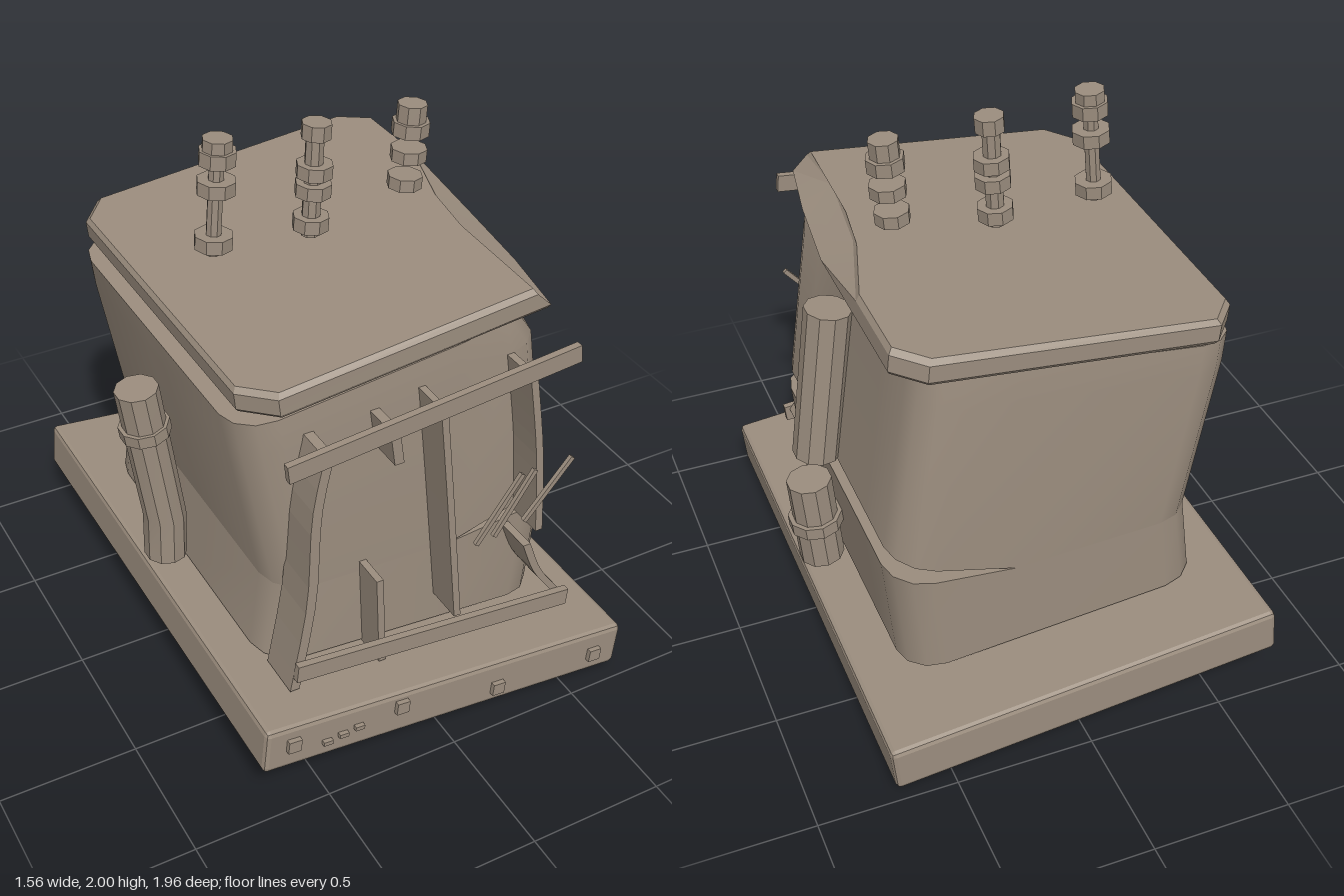
import * as THREE from 'three';
import { toCreasedNormals } from 'three/addons/utils/BufferGeometryUtils.js';
import { RoundedBoxGeometry } from 'three/addons/geometries/RoundedBoxGeometry.js';

const taupe = new THREE.MeshStandardMaterial({ color: 0x9b8d7e });
taupe.name = 'taupe';

// Skin a stack of [x, y, z] rings; caps join the front chain to the back chain
function loft(rings, crease) {
  const n = rings[0].length, pos = rings.flat(2), idx = [];
  const quad = (a, b, c, d) => idx.push(a, b, c, a, c, d);
  for (let r = 0; r < rings.length - 1; r++)
    for (let i = 0; i < n; i++) {
      const j = (i + 1) % n, a = r * n, b = a + n;
      quad(a + i, a + j, b + j, b + i);
    }
  const t = (rings.length - 1) * n;
  for (let i = 0; i < n / 2 - 1; i++) {
    quad(t + i, t + i + 1, t + n - 2 - i, t + n - 1 - i);
    quad(n - 1 - i, n - 2 - i, i + 1, i);
  }
  const g = new THREE.BufferGeometry();
  g.setAttribute('position', new THREE.Float32BufferAttribute(pos, 3));
  g.setIndex(idx);
  return toCreasedNormals(g, crease);
}

// Rounded-rectangle ring for the tank, with height given by a rule
function tankRing(l, r, zf, zb, height, dent = 0) {
  const R = 0.14, half = [[l, 0.05]];
  for (let k = 0; k <= 3; k++) {
    const a = k * Math.PI / 6;
    half.push([l + R - R * Math.cos(a), 1 - R + R * Math.sin(a)]);
  }
  half.push([0.16, 1]);
  for (let k = 3; k >= 0; k--) {
    const a = k * Math.PI / 6;
    half.push([r - R + R * Math.cos(a), 1 - R + R * Math.sin(a)]);
  }
  half.push([r, 0.35], [r, 0.05]);
  const place = (s) => ([x, d]) => {
    const z = d > 0.8 ? s * ((s > 0 ? zf : -zb) - 1 + d) : s * d;
    const px = x - (x > 0.3 && z > 0.3 ? dent : 0);
    return [px, height(x), z];
  };
  return [...half.map(place(1)), ...half.slice().reverse().map(place(-1))];
}

export function createModel() {
  const model = new THREE.Group();
  const add = (name, geo, x = 0, y = 0, z = 0, rz = 0, parent = model) => {
    const m = new THREE.Mesh(geo, taupe);
    m.name = name;
    m.position.set(x, y, z);
    m.rotation.z = rz;
    parent.add(m);
    return m;
  };
  const box = (name, w, h, d, x, y, z, rz, parent) =>
    add(name, new THREE.BoxGeometry(w, h, d), x, y, z, rz, parent);

  // Faceted cylinder between two points in the x-y plane
  const rod = (name, x0, y0, x1, y1, r, z = 0, sides = 10) => {
    const g = new THREE.CylinderGeometry(r, r, Math.hypot(x1 - x0, y1 - y0), sides);
    return add(name, toCreasedNormals(g, 0.4), (x0 + x1) / 2, (y0 + y1) / 2, z, -Math.atan2(x1 - x0, y1 - y0));
  };

  // Tilted base slab with its front studs
  const base = new THREE.Group();
  base.name = 'base';
  base.position.set(0, 0.19, -0.01);
  base.rotation.z = -0.1;
  model.add(base);
  add('baseSlab', toCreasedNormals(new RoundedBoxGeometry(1.445, 0.175, 1.94, 1, 0.018), 0.2), 0, 0, 0, 0, base);
  for (const [x, y] of [[-0.62, 0.015], [-0.205, 0.035], [0.195, -0.02], [0.61, -0.005]])
    box('baseStud', 0.048, 0.048, 0.02, x, y, 0.978, 0, base);
  for (const x of [-0.49, -0.43, -0.37])
    box('baseChip', 0.035, 0.016, 0.018, x, -0.02 + (x + 0.49) * 0.2, 0.977, 0, base);

  // Lumps under the base
  for (const [x, y, z] of [[0.33, 0.045, 0.68], [0.29, 0.05, 0.2], [0.46, 0.04, -0.17], [-0.58, 0.053, -0.3]]) {
    const g = new THREE.IcosahedronGeometry(0.07, 0);
    g.scale(1, 0.62, 0.85);
    add('lump', toCreasedNormals(g, 0.1), x, y, z);
  }

  // Tank split by a wedge-shaped crack opening to the left
  const crack = (slope) => (x) => 0.61 + Math.max(0, x - 0.16) * slope - Math.min(0, x - 0.16) * 0.05;
  add('lowerTank', loft([
    tankRing(-0.56, 0.56, 0.67, -0.69, (x) => 0.29 - 0.09 * x),
    tankRing(-0.52, 0.6, 0.67, -0.69, crack(0.1)),
  ], 0.6));
  add('upperTank', loft([
    tankRing(-0.52, 0.59, 0.67, -0.69, crack(0.28)),
    tankRing(-0.625, 0.5, 0.67, -0.69, (x) => 1.3 + 0.11 * x),
    tankRing(-0.64, 0.485, 0.66, -0.68, (x) => 1.414 + 0.115 * x, 0.06),
  ], 0.6));

  // Lid with a crushed front corner
  const upper = [[-0.62, 0.59], [-0.52, 0.7], [0.43, 0.69], [0.41, 0.45], [0.46, 0.05], [0.57, -0.32],
    [0.57, -0.5], [0.57, -0.64], [0.47, -0.73], [0.4, -0.73], [-0.53, -0.73], [-0.62, -0.62]];
  const lower = upper.map((p) => p.slice());
  lower[2] = [0.48, 0.69];
  lower[3] = [0.53, 0.4];
  lower[4] = [0.57, 0.05];
  const lidRing = (pts, drop, s) => pts.map(([x, z]) => [x * s + drop * 0.1, 1.533 + 0.1 * x - drop, z * s]);
  add('lid', loft([lidRing(lower, 0.093, 0.985), lidRing(lower, 0.078, 1),
    lidRing(upper, 0.018, 1), lidRing(upper, 0, 0.978)], 0.2));

  // Side pipes: snapped on the left, bent on the right
  rod('leftPipeUpper', 0.655, 0.75, 0.577, 1.35, 0.085);
  rod('leftPipeLower', 0.66, 0.275, 0.69, 0.635, 0.083);
  rod('leftPipeBand', 0.673, 0.425, 0.677, 0.473, 0.1);
  const pipePath = [[-0.71, 1.14], [-0.635, 0.57], [-0.64, 0.39]];
  const pipeRings = pipePath.map(([x, y], k) => Array.from({ length: 10 }, (_, i) => {
    const a = (i + 0.5) * Math.PI / 5, c = -Math.cos(a) * 0.078;
    return [x + c, y + (k === 0 ? 0.1 : -0.05) * c, Math.sin(a) * 0.08];
  })).reverse();
  add('rightPipe', loft(pipeRings, 0.3));
  rod('rightPipeBand', -0.685, 0.945, -0.691, 0.99, 0.092);

  // Terminals floating above the lid: [x, y, radius, height]
  const terminals = [
    [[-0.395, 1.63, 0.068, 0.048], [-0.378, 1.83, 0.068, 0.048], [-0.37, 1.935, 0.065, 0.05], [-0.368, 1.978, 0.053, 0.045]],
    [[-0.03, 1.605, 0.065, 0.05], [-0.02, 1.73, 0.065, 0.048], [-0.015, 1.8, 0.065, 0.048], [-0.007, 1.945, 0.053, 0.055]],
    [[0.34, 1.67, 0.063, 0.045], [0.352, 1.772, 0.065, 0.045], [0.357, 1.87, 0.067, 0.05], [0.36, 1.925, 0.053, 0.065]],
  ];
  for (const set of terminals)
    for (const [x, y, r, h] of set)
      rod('terminalNut', x - h * 0.04, y - h / 2, x + h * 0.04, y + h / 2, r, -0.01, 8);
  rod('terminalRod', -0.4, 1.58, -0.368, 1.97, 0.027, -0.01, 8);
  rod('terminalRod', -0.033, 1.555, -0.01, 1.95, 0.033, -0.01, 8);

  // Front rails
  box('topRail', 1.08, 0.066, 0.026, -0.02, 1.334, 0.825, 0.1);
  box('bottomRail', 1.1, 0.066, 0.026, 0.015, 0.375, 0.825, -0.105);

  // Warped fins on the front, each swept along a short curve
  const fin = (pts, w, z0 = 0.64, z1 = 0.81) => {
    const c = new THREE.SplineCurve(pts.map((p) => new THREE.Vector2(...p))).getPoints(10);
    const s = new THREE.Shape([
      ...c.map((p) => new THREE.Vector2(p.x - w / 2, p.y)),
      ...c.reverse().map((p) => new THREE.Vector2(p.x + w / 2, p.y)),
    ]);
    add('fin', new THREE.ExtrudeGeometry(s, { depth: z1 - z0, bevelEnabled: false }), 0, 0, z0);
  };
  fin([[-0.4, 1.28], [-0.445, 1.05], [-0.465, 0.7], [-0.53, 0.34]], 0.035);
  fin([[0.015, 1.32], [0.06, 0.9], [0.11, 0.4]], 0.026);
  fin([[0.355, 1.34], [0.405, 1.0], [0.43, 0.66]], 0.028);
  fin([[0.385, 0.61], [0.44, 0.47], [0.53, 0.34]], 0.03);
  fin([[-0.16, 1.29], [-0.14, 1.15]], 0.035, 0.67, 0.8);
  fin([[-0.195, 0.67], [-0.178, 0.3]], 0.026, 0.65, 0.79);

  // Loose splinters in front of the fins
  for (const [x0, y0, x1, y1] of [[0.14, 0.74, 0.31, 0.98], [0.21, 0.75, 0.36, 0.98], [0.33, 0.77, 0.51, 0.98]])
    box('splinter', Math.hypot(x1 - x0, y1 - y0), 0.018, 0.015,
      (x0 + x1) / 2, (y0 + y1) / 2, 0.85, Math.atan2(y1 - y0, x1 - x0));

  return model;
}
